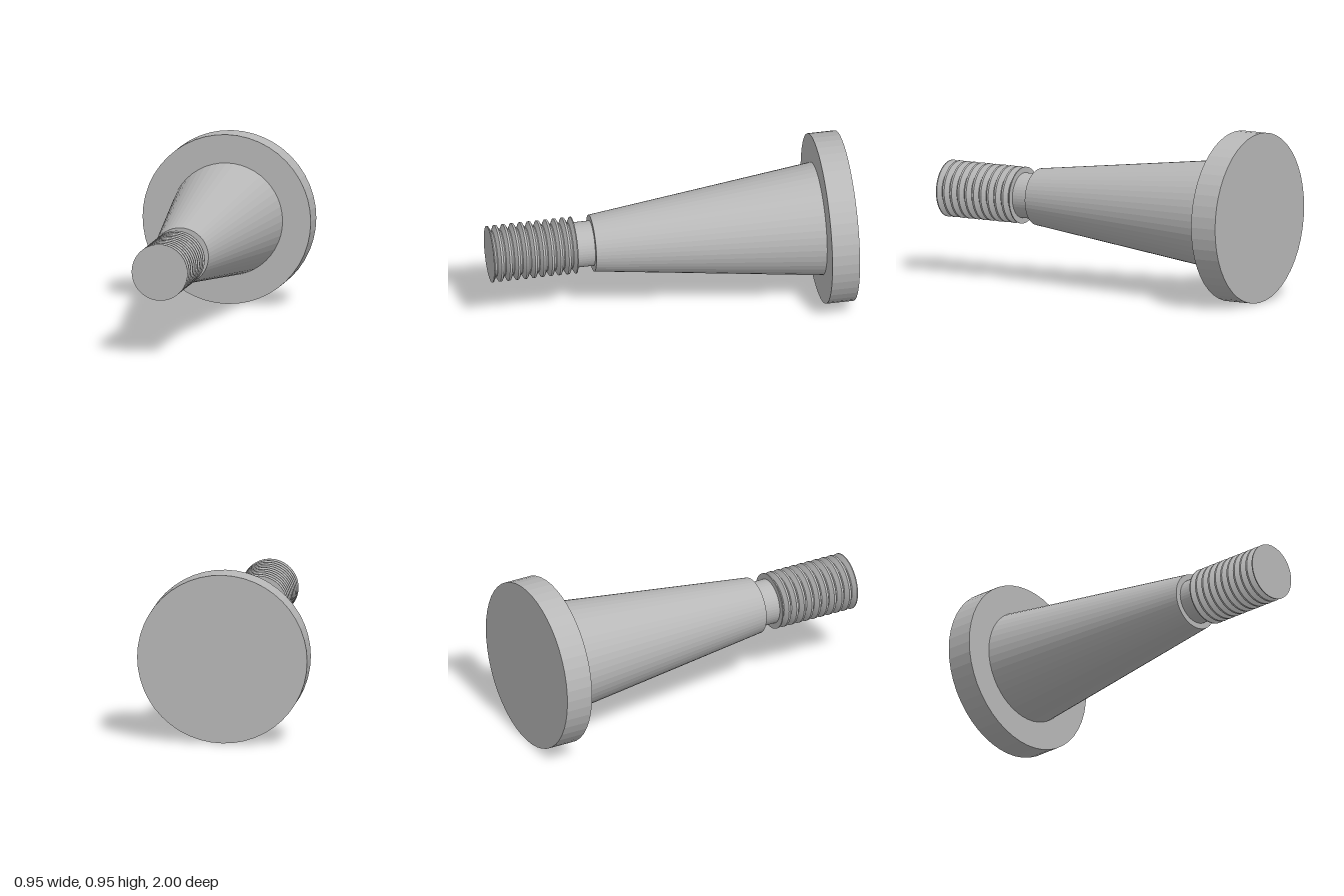
import * as THREE from 'three';

const SEGMENTS = 48;
const AXIS_Y = 0.475;

export function createModel() {
  const group = new THREE.Group();
  group.name = 'taperedThreadedPin';
  const steel = new THREE.MeshStandardMaterial({ color: 0xb8b8b8, flatShading: true });
  steel.name = 'steel grey';

  // Turn a profile of [radius, z] points about the horizontal axis
  const turned = (name, profile) => {
    const points = profile.map(([r, z]) => new THREE.Vector2(r, z));
    const geometry = new THREE.LatheGeometry(points, SEGMENTS);
    geometry.rotateX(Math.PI / 2);
    const mesh = new THREE.Mesh(geometry, steel);
    mesh.name = name;
    mesh.position.y = AXIS_Y;
    group.add(mesh);
  };

  // Flat disc head at the back
  turned('head', [[0, -1], [0.475, -1], [0.475, -0.845], [0, -0.845]]);

  // Tapered shank
  turned('taperedShank', [[0.316, -0.845], [0.158, 0.425], [0, 0.425]]);

  // Undercut neck
  turned('neck', [[0.126, 0.425], [0.126, 0.525]]);

  // Ridged thread with narrow flat crests and roots
  const start = 0.525, ridges = 10, crest = 0.158, root = 0.129;
  const pitch = (1 - start) / ridges;
  const thread = [[0, start], [crest, start]];
  for (let i = 0; i < ridges; i++) {
    const z = start + i * pitch;
    thread.push([crest, z + 0.12 * pitch], [root, z + 0.45 * pitch],
      [root, z + 0.55 * pitch], [crest, z + 0.88 * pitch]);
  }
  thread.push([crest, 1], [0, 1]);
  turned('thread', thread);

  return group;
}
